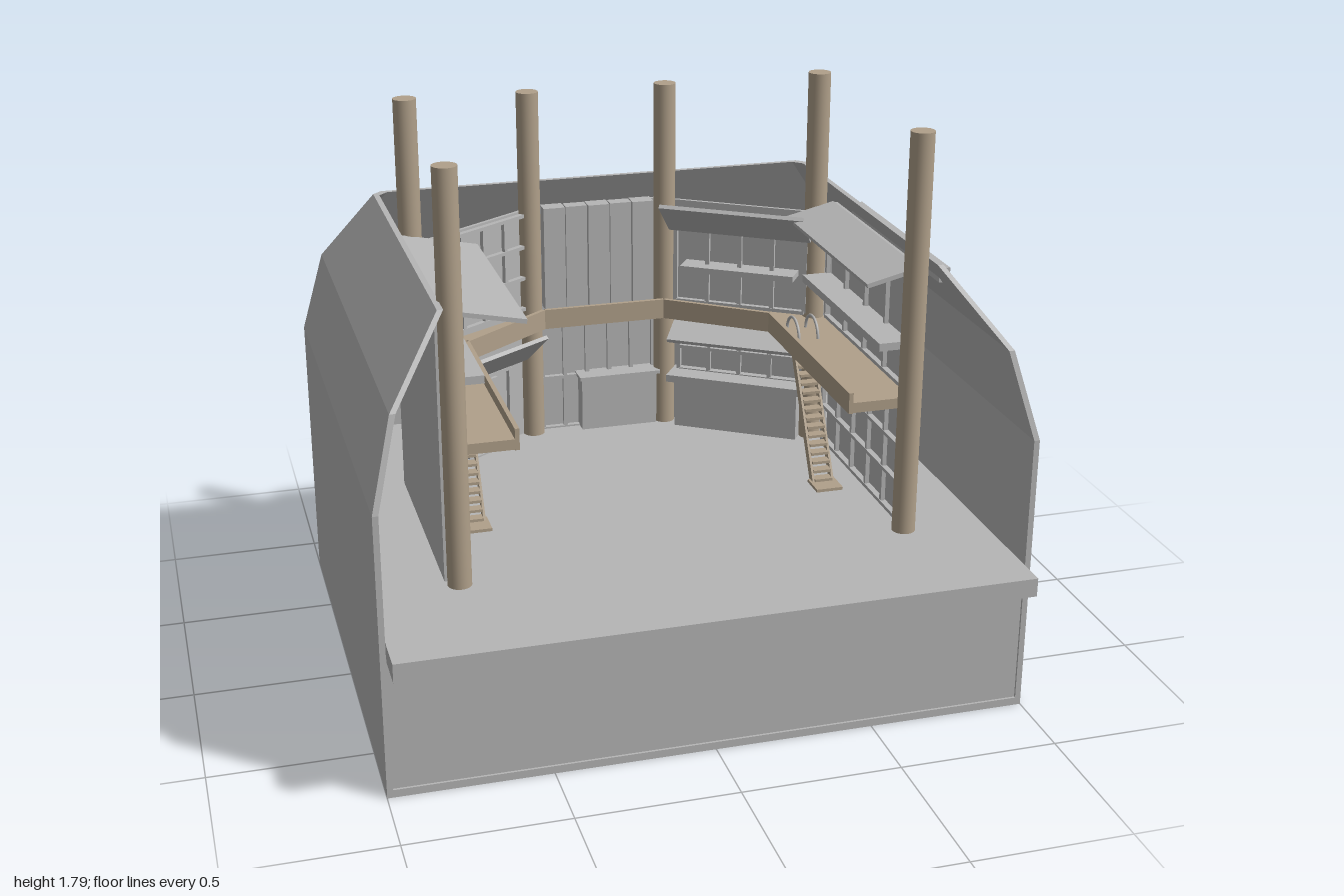
import * as THREE from 'three';

export function createModel() {
  const grey = new THREE.MeshStandardMaterial({ color: 0xb6b6b6 });
  grey.name = 'stone grey';
  const tan = new THREE.MeshStandardMaterial({ color: 0xb0a08a });
  tan.name = 'timber tan';
  const root = new THREE.Group();
  root.name = 'stageSet';

  const add = (parent, name, geo, mat, x = 0, y = 0, z = 0) => {
    const m = new THREE.Mesh(geo, mat);
    m.name = name;
    m.position.set(x, y, z);
    parent.add(m);
    return m;
  };
  const box = (parent, name, mat, w, h, d, x, y, z) =>
    add(parent, name, new THREE.BoxGeometry(w, h, d), mat, x, y, z);

  // Outer shell: three walls leaning in at the top, chamfered back corners
  const levels = [ // y, half width, front z, back z
    [0, 1, 0.755, -0.87], [0.9, 1, 0.755, -0.87],
    [1.17, 0.93, 0.69, -0.825], [1.4, 0.76, 0.525, -0.71],
  ];
  const ring = ([y, X, F, B], t) => {
    const x = X - t, b = B + t, c = 0.03;
    return [[-x, F], [-x, b + c], [-x + c, b], [x - c, b], [x, b + c], [x, F]].map(([px, pz]) => [px, y, pz]);
  };
  const outer = levels.map((l) => ring(l, 0));
  const inner = levels.map((l) => ring(l, 0.018));
  const pos = [];
  const quad = (a, b, c, d) => pos.push(...a, ...b, ...c, ...a, ...c, ...d);
  const top = levels.length - 1;
  for (let k = 0; k < 5; k++) {
    for (let i = 0; i < top; i++) {
      quad(outer[i][k], outer[i + 1][k], outer[i + 1][k + 1], outer[i][k + 1]);
      quad(inner[i][k], inner[i][k + 1], inner[i + 1][k + 1], inner[i + 1][k]);
    }
    quad(outer[top][k], inner[top][k], inner[top][k + 1], outer[top][k + 1]);
    quad(outer[0][k], outer[0][k + 1], inner[0][k + 1], inner[0][k]);
  }
  for (let i = 0; i < top; i++) {
    quad(outer[i][0], inner[i][0], inner[i + 1][0], outer[i + 1][0]);
    quad(inner[i][5], outer[i][5], outer[i + 1][5], inner[i + 1][5]);
  }
  const shell = new THREE.BufferGeometry();
  shell.setAttribute('position', new THREE.Float32BufferAttribute(pos, 3));
  shell.computeVertexNormals();
  add(root, 'outerWalls', shell, grey);

  // Stage floor and the wall under its front edge
  box(root, 'stageFloor', grey, 1.95, 0.06, 1.72, -0.005, 0.47, 0.01);
  box(root, 'frontWall', grey, 1.97, 0.45, 0.015, 0, 0.225, 0.74);
  box(root, 'frontSill', grey, 1.97, 0.025, 0.02, 0, 0.0125, 0.745);

  // Slim bars on the sloped outer walls
  box(root, 'sideBar', grey, 0.035, 0.045, 0.74, 0.822, 1.322, 0.03);
  box(root, 'backBar', grey, 0.49, 0.04, 0.02, 0.005, 1.31, -0.772);

  // Timber posts
  const posts = [[-0.71, 0.44, 1.79], [-0.69, -0.37, 1.79], [-0.24, -0.65, 1.72],
    [0.235, -0.65, 1.72], [0.685, -0.37, 1.79], [0.71, 0.44, 1.79]];
  posts.forEach(([x, z, h], i) => {
    const y0 = i === 0 ? 0.43 : 0.46;
    add(root, 'post', new THREE.CylinderGeometry(0.037, 0.037, h - y0, 24), tan, x, (h + y0) / 2, z);
  });

  // Walkway round the upper storey
  const outline = [[0.74, 0.43], [0.74, -0.34], [0.68, -0.38], [0.24, -0.645]];
  const edge = [[-0.515, 0.43], [-0.515, -0.34], [-0.21, -0.57], [0.21, -0.57], [0.515, -0.34], [0.515, 0.43]];
  const plan = [...outline, ...outline.slice().reverse().map(([x, z]) => [-x, z]), ...edge];
  const walk = new THREE.ExtrudeGeometry(new THREE.Shape(plan.map((p) => new THREE.Vector2(...p))),
    { depth: 0.033, bevelEnabled: false });
  walk.rotateX(Math.PI / 2);
  add(root, 'walkway', walk, tan, 0, 0.945, 0);

  // Group whose local x runs along a wall and whose local z faces the stage
  const wallGroup = (name, [ax, az], [bx, bz]) => {
    const g = new THREE.Group();
    g.name = name;
    g.position.set((ax + bx) / 2, 0, (az + bz) / 2);
    g.rotation.y = Math.atan2(az - bz, bx - ax);
    g.userData.len = Math.hypot(bx - ax, bz - az);
    root.add(g);
    return g;
  };
  for (let i = 0; i < 5; i++) {
    const g = wallGroup('walkwayEdge', edge[i], edge[i + 1]);
    box(g, 'fascia', tan, g.userData.len, 0.068, 0.014, 0, 0.944, -0.007);
  }

  // Grid of bars in front of a wall
  const grid = (g, w, x, y0, y1, z, cols, rows) => {
    for (let i = 0; i <= cols; i++)
      box(g, 'upright', grey, 0.014, y1 - y0, 0.014, x - w / 2 + (w * i) / cols, (y0 + y1) / 2, z);
    for (let j = 0; j <= rows; j++)
      box(g, 'rail', grey, w, 0.012, 0.018, x, y0 + ((y1 - y0) * j) / rows, z);
  };
  // Tilted board running from (z0, y0) at the wall to (z1, y1) over the stage
  const awning = (g, w, x, z0, y0, z1, y1) => {
    const m = box(g, 'awning', grey, w, 0.014, Math.hypot(z1 - z0, y1 - y0), x, (y0 + y1) / 2, (z0 + z1) / 2);
    m.rotation.x = -Math.atan2(y1 - y0, z1 - z0);
  };
  const panel = (g, y0, y1) =>
    box(g, 'wallPanel', grey, g.userData.len, y1 - y0, 0.012, 0, (y0 + y1) / 2, 0);

  // Left stall
  const left = wallGroup('leftStall', [-0.745, 0.41], [-0.745, -0.34]);
  panel(left, 0.5, 1.35);
  grid(left, 0.7, 0, 0.51, 0.88, 0.03, 5, 3);
  grid(left, 0.7, 0, 0.96, 1.32, 0.03, 4, 1);
  box(left, 'counter', grey, 0.7, 0.025, 0.12, 0, 1.125, 0.08);
  box(left, 'counterFront', grey, 0.68, 0.17, 0.05, 0, 1.03, 0.04);
  awning(left, 0.75, 0, 0.02, 1.35, 0.265, 1.3);

  // Left diagonal: upper windows, lower doorway
  const dl = wallGroup('leftDiagonal', [-0.72, -0.36], [-0.24, -0.68]);
  panel(dl, 0.5, 1.31);
  grid(dl, 0.5, 0, 0.97, 1.3, 0.025, 5, 3);
  grid(dl, 0.3, 0, 0.5, 0.78, 0.03, 3, 1);
  box(dl, 'door', grey, 0.16, 0.26, 0.02, 0.02, 0.63, 0.015);
  awning(dl, 0.48, 0, 0.03, 0.79, 0.13, 0.89);

  // Back: boarded upper wall, framed lower wall with a counter
  const back = wallGroup('backWall', [-0.25, -0.695], [0.25, -0.695]);
  panel(back, 0.5, 1.31);
  for (let i = -2; i <= 2; i++)
    box(back, 'board', grey, 0.074, 0.36, i % 2 ? 0.046 : 0.056, i * 0.078, 1.135, 0.028);
  grid(back, 0.4, 0, 0.5, 0.88, 0.02, 5, 2);
  box(back, 'counter', grey, 0.27, 0.19, 0.06, 0.065, 0.595, 0.04);
  box(back, 'counterTop', grey, 0.29, 0.012, 0.08, 0.065, 0.695, 0.045);

  // Right diagonal: booth above, counter with awning below
  const dr = wallGroup('rightDiagonal', [0.24, -0.68], [0.72, -0.36]);
  panel(dr, 0.5, 1.31);
  grid(dr, 0.46, 0, 0.96, 1.22, 0.04, 4, 1);
  box(dr, 'boothCounter', grey, 0.4, 0.02, 0.08, 0, 1.09, 0.05);
  awning(dr, 0.5, 0, 0.05, 1.22, 0.17, 1.33);
  box(dr, 'counter', grey, 0.44, 0.18, 0.07, 0, 0.59, 0.04);
  box(dr, 'counterTop', grey, 0.48, 0.025, 0.11, 0, 0.69, 0.06);
  grid(dr, 0.44, 0, 0.7, 0.87, 0.03, 4, 2);
  awning(dr, 0.46, 0, 0.02, 0.9, 0.14, 0.84);

  // Right stall
  const right = wallGroup('rightStall', [0.745, -0.34], [0.745, 0.41]);
  panel(right, 0.5, 1.35);
  grid(right, 0.7, 0, 0.51, 0.88, 0.03, 5, 3);
  grid(right, 0.7, 0, 0.96, 1.32, 0.03, 4, 1);
  box(right, 'counter', grey, 0.7, 0.025, 0.1, 0, 1.1, 0.07);
  awning(right, 0.74, 0, 0.01, 1.35, 0.175, 1.31);

  // Steep stairs up to the walkway on both sides
  for (const s of [-1, 1]) {
    const g = new THREE.Group();
    g.name = 'stairs';
    g.position.x = s * 0.588;
    root.add(g);
    const n = 16, rise = 0.41, run = 0.23;
    for (let i = 0; i < n; i++)
      box(g, 'tread', tan, 0.06, 0.009, 0.035, 0, 0.515 + (rise * i) / n, 0.03 - (run * i) / n);
    for (const e of [-1, 1]) {
      const m = box(g, 'stringer', tan, 0.008, Math.hypot(rise, run), 0.03, e * 0.033, 0.5 + rise / 2, 0.03 - run / 2);
      m.rotation.x = -Math.atan2(run, rise);
      const rail = add(g, 'handrail', new THREE.TorusGeometry(0.06, 0.005, 6, 16, Math.PI), grey, e * 0.033, 0.945, -0.2);
      rail.rotation.y = Math.PI / 2;
    }
    box(g, 'footPlate', tan, 0.09, 0.01, 0.09, 0, 0.505, 0.06);
  }
  return root;
}
